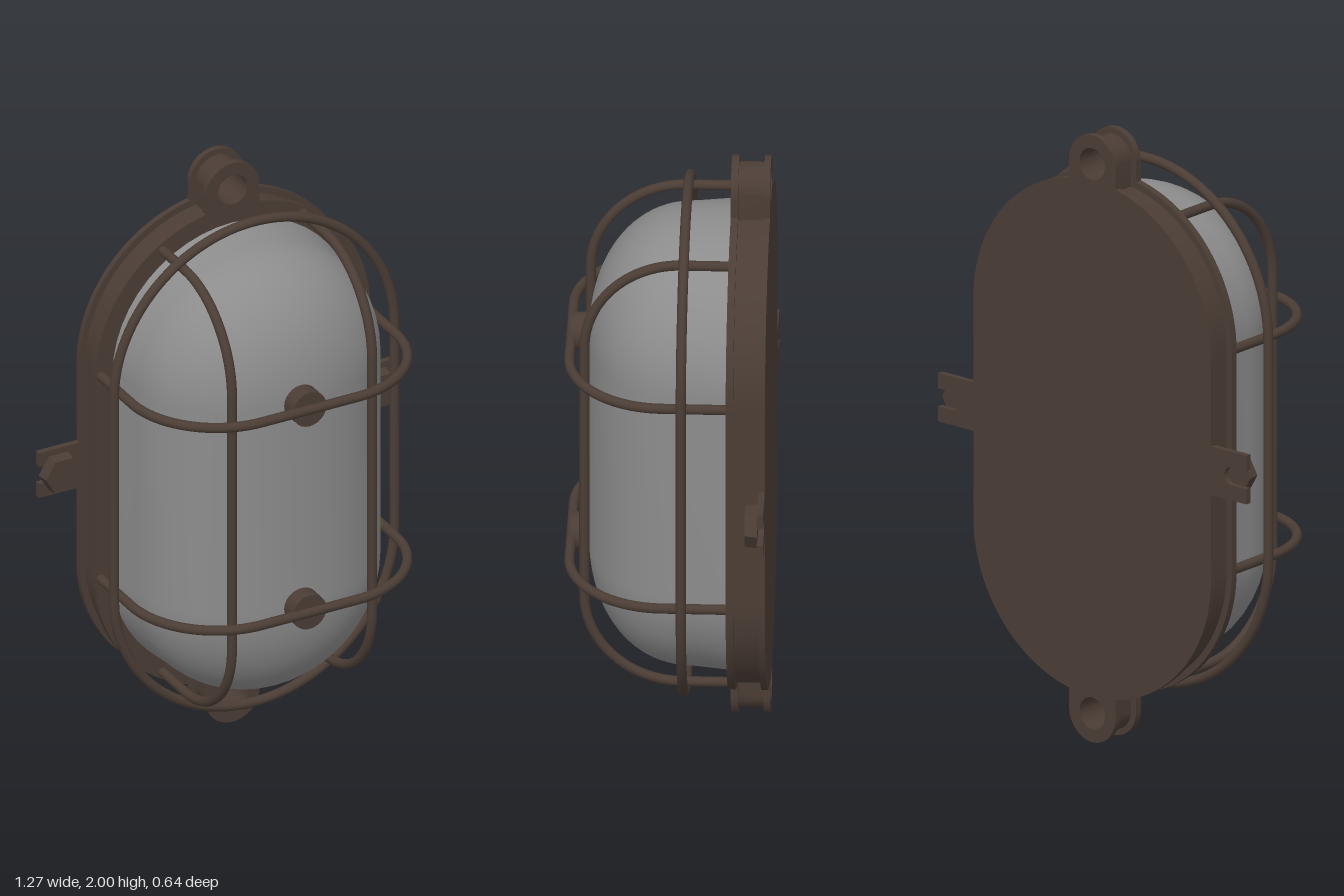
import * as THREE from 'three';
import { toCreasedNormals } from 'three/addons/utils/BufferGeometryUtils.js';

const MID = 1;         // height of the centre
const STRAIGHT = 0.36; // half length of the straight sides
const BACK = -0.32;
const WIRE = 0.016;

const metal = new THREE.MeshStandardMaterial({ color: 0x4b3d35 });
metal.name = 'brown metal';
const glass = new THREE.MeshStandardMaterial({ color: 0x8c8c8c });
glass.name = 'grey glass';

function add(parent, name, geometry, material = metal) {
  const mesh = new THREE.Mesh(geometry, material);
  mesh.name = name;
  parent.add(mesh);
  return mesh;
}

// Rounded-end outline, counterclockwise
function stadium(r, Type = THREE.Shape) {
  const s = new Type();
  s.moveTo(r, MID - STRAIGHT);
  s.lineTo(r, MID + STRAIGHT);
  s.absarc(0, MID + STRAIGHT, r, 0, Math.PI, false);
  s.lineTo(-r, MID - STRAIGHT);
  s.absarc(0, MID - STRAIGHT, r, Math.PI, Math.PI * 2, false);
  return s;
}

// Mounting ear with a through hole; dir is 1 at the top and -1 at the bottom
function ear(r, dir) {
  const y = MID + dir * 0.905;
  const s = new THREE.Shape();
  s.moveTo(-dir * r, MID + dir * 0.76);
  s.lineTo(dir * r, MID + dir * 0.76);
  s.lineTo(dir * r, y);
  const start = dir > 0 ? 0 : Math.PI;
  s.absarc(0, y, r, start, start + Math.PI, false);
  s.closePath();
  s.holes.push(new THREE.Path().absarc(0, y, 0.052, 0, Math.PI * 2, true));
  return s;
}

function slab(shape, z0, z1) {
  const g = new THREE.ExtrudeGeometry(shape, { depth: z1 - z0, bevelEnabled: false, curveSegments: 28 });
  g.translate(0, 0, z0);
  return toCreasedNormals(g, 0.5);
}

// Wire following a flat path that is placed in space by a mapping function
function wire(path, samples, map, closed = false) {
  const points = path.getSpacedPoints(samples).map(map);
  if (closed) points.pop();
  const curve = new THREE.CatmullRomCurve3(points, closed);
  return new THREE.TubeGeometry(curve, samples * 2, WIRE, 10, closed);
}

// Bent guard bar: two legs, two rounded corners and a flat front
function bar(halfWidth, front, r) {
  const p = new THREE.Path();
  p.moveTo(-halfWidth, -0.21);
  p.lineTo(-halfWidth, front - r);
  p.absarc(-halfWidth + r, front - r, r, Math.PI, Math.PI / 2, true);
  p.lineTo(halfWidth - r, front);
  p.absarc(halfWidth - r, front - r, r, Math.PI / 2, 0, true);
  p.lineTo(halfWidth, -0.21);
  return p;
}

// Glass dome: rounded-end loops shrinking towards the front
function domeGeometry() {
  const half = 24, around = 2 * (half + 1), rings = 24;
  const positions = [], index = [];
  for (let i = 0; i <= rings; i++) {
    let r = 0.43, z = -0.21;
    if (i > 0) {
      const t = ((i - 1) / (rings - 1)) * Math.PI / 2;
      r = 0.418 * Math.pow(Math.max(0, Math.cos(t)), 0.93);
      z = -0.08 + 0.33 * Math.pow(Math.sin(t), 0.93);
    }
    for (let j = 0; j < around; j++) {
      const top = j <= half;
      const a = ((top ? j : j - 1) / half) * Math.PI;
      positions.push(r * Math.cos(a), MID + (top ? STRAIGHT : -STRAIGHT) + r * Math.sin(a), z);
      if (i < rings) {
        const k = (j + 1) % around;
        const p = i * around + j, q = i * around + k;
        index.push(p, q, q + around, p, q + around, p + around);
      }
    }
  }
  const g = new THREE.BufferGeometry();
  g.setAttribute('position', new THREE.Float32BufferAttribute(positions, 3));
  g.setIndex(index);
  g.computeVertexNormals();
  return g;
}

// Side lug with an open slot, on the +x side
function lugShape() {
  const s = new THREE.Shape();
  s.moveTo(0.42, MID - 0.08);
  s.lineTo(0.635, MID - 0.08);
  s.lineTo(0.635, MID - 0.03);
  s.lineTo(0.575, MID - 0.03);
  s.absarc(0.575, MID, 0.03, -Math.PI / 2, Math.PI / 2, true);
  s.lineTo(0.635, MID + 0.03);
  s.lineTo(0.635, MID + 0.08);
  s.lineTo(0.42, MID + 0.08);
  s.closePath();
  return s;
}

export function createModel() {
  const model = new THREE.Group();
  model.name = 'bulkheadLamp';

  // Housing: back plate, narrower body and front flange, each with two ears
  const housing = new THREE.Group();
  housing.name = 'housing';
  model.add(housing);
  const layers = [
    ['backPlate', 0.49, 0.095, BACK, -0.30],
    ['body', 0.468, 0.075, -0.30, -0.22],
    ['frontFlange', 0.49, 0.095, -0.22, -0.197],
  ];
  for (const [name, r, earR, z0, z1] of layers) {
    add(housing, name, slab(stadium(r), z0, z1));
    add(housing, name + 'TopEar', slab(ear(earR, 1), z0, z1));
    add(housing, name + 'BottomEar', slab(ear(earR, -1), z0, z1));
  }

  // Slotted side lugs with hexagonal bolts
  for (const side of [1, -1]) {
    const lug = add(housing, side > 0 ? 'leftLug' : 'rightLug', slab(lugShape(), BACK, -0.30));
    if (side < 0) {
      lug.rotation.z = Math.PI;
      lug.position.y = 2 * MID;
    }
    const hex = new THREE.CylinderGeometry(0.064, 0.069, 0.04, 6).toNonIndexed();
    hex.computeVertexNormals();
    hex.rotateY(Math.PI / 6).rotateX(Math.PI / 2);
    const bolt = add(housing, side > 0 ? 'leftBolt' : 'rightBolt', hex);
    bolt.position.set(side * 0.566, MID, -0.281);
  }

  add(model, 'glassDome', domeGeometry(), glass);

  // Wire guard
  const guard = new THREE.Group();
  guard.name = 'guard';
  model.add(guard);
  add(guard, 'guardRing', wire(stadium(0.5, THREE.Path), 100,
    (p) => new THREE.Vector3(p.x, p.y, -0.057), true));
  for (const s of [1, -1]) {
    add(guard, 'verticalBar', wire(bar(0.755, 0.255, 0.305), 60,
      (p) => new THREE.Vector3(s * 0.25, MID + p.x, p.y)));
    const y = MID + s * 0.363;
    add(guard, 'crossBar', wire(bar(0.47, 0.305, 0.3), 60,
      (p) => new THREE.Vector3(p.x, y, p.y)));
    // Round spacer between the glass and the cross bar
    const spacer = add(guard, 'spacer', new THREE.CylinderGeometry(0.06, 0.06, 0.07, 24).rotateX(Math.PI / 2));
    spacer.position.set(0, y, 0.27);
  }
  return model;
}
